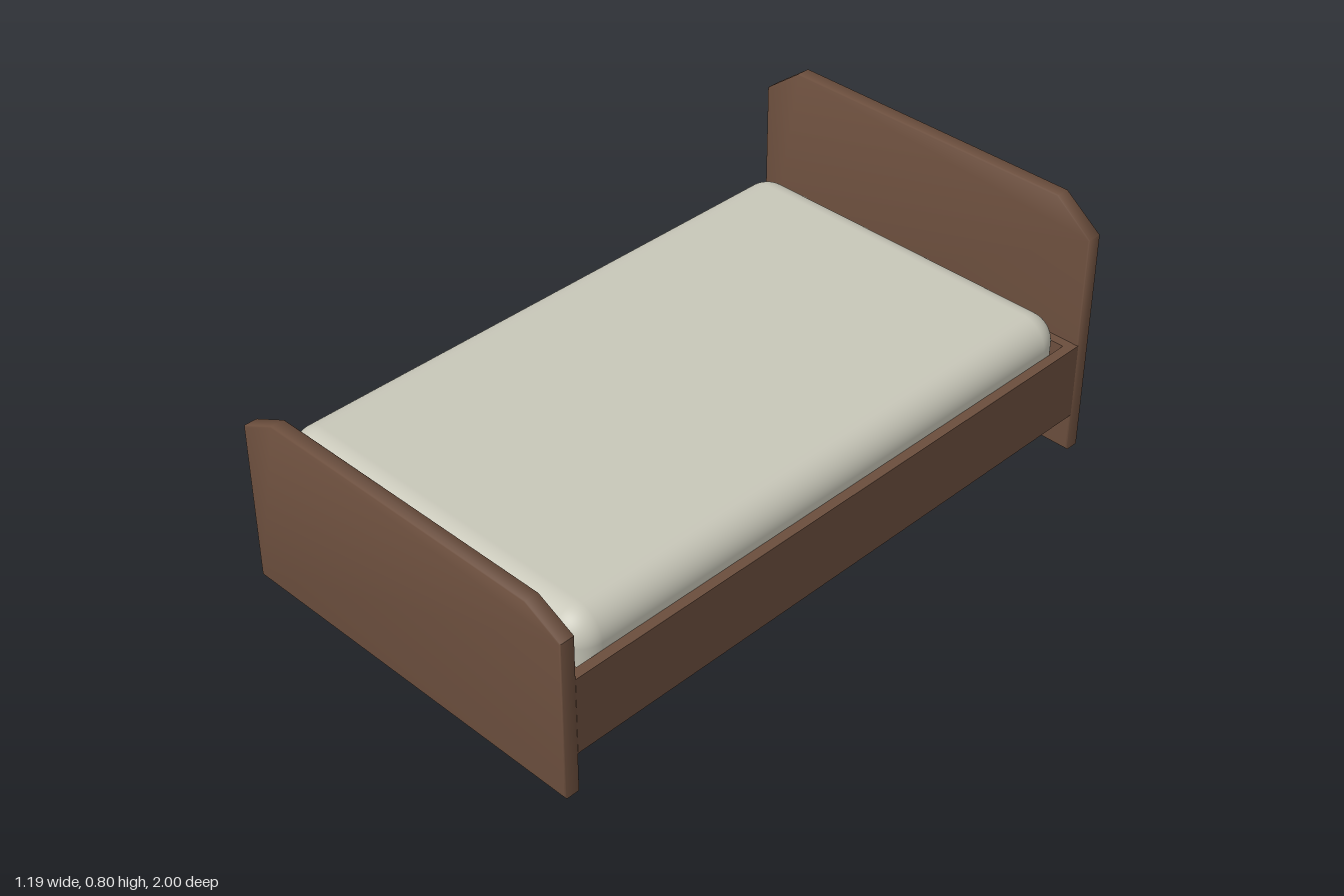
import * as THREE from 'three';
import { toCreasedNormals } from 'three/addons/utils/BufferGeometryUtils.js';
import { RoundedBoxGeometry } from 'three/addons/geometries/RoundedBoxGeometry.js';

export function createModel() {
  const bed = new THREE.Group();
  bed.name = 'bed';
  const wood = new THREE.MeshStandardMaterial({ color: 0x6b4e3d });
  wood.name = 'brown wood';
  const fabric = new THREE.MeshStandardMaterial({ color: 0xc8c7b9 });
  fabric.name = 'mattress fabric';

  const add = (name, geometry, material, x, y, z) => {
    const mesh = new THREE.Mesh(geometry, material);
    mesh.name = name;
    mesh.position.set(x, y, z);
    bed.add(mesh);
  };
  const box = (name, w, h, d, x, y, z) => add(name, new THREE.BoxGeometry(w, h, d), wood, x, y, z);

  // End panels with clipped top corners and softly rounded edges
  const halfW = 0.595, thick = 0.047, bevel = 0.006;
  const panel = (name, top, shoulder, z) => {
    const shape = new THREE.Shape([
      [-halfW, 0], [halfW, 0], [halfW, shoulder], [0.475, top], [-0.475, top], [-halfW, shoulder],
    ].map(([x, y]) => new THREE.Vector2(x, y)));
    const geometry = new THREE.ExtrudeGeometry(shape, {
      depth: thick - 2 * bevel, bevelEnabled: true, bevelSegments: 3,
      bevelSize: bevel, bevelThickness: bevel, bevelOffset: -bevel,
    });
    add(name, toCreasedNormals(geometry, 0.95), wood, 0, 0, z + bevel);
  };
  panel('headboard', 0.797, 0.706, -1);
  panel('footboard', 0.556, 0.497, 1 - thick);

  // Side rails with inner ledges that carry the slats
  for (const [side, s] of [['left', 1], ['right', -1]]) {
    box(`${side}SideRail`, 0.03, 0.238, 1.91, s * 0.579, 0.241, 0);
    box(`${side}Ledge`, 0.03, 0.03, 1.85, s * 0.549, 0.165, 0);
  }

  // End rails and their ledges between the side rails
  for (const [end, s] of [['foot', 1], ['head', -1]]) {
    box(`${end}EndRail`, 1.128, 0.238, 0.03, 0, 0.241, s * 0.939);
    box(`${end}Ledge`, 1.068, 0.03, 0.03, 0, 0.165, s * 0.909);
  }

  // Evenly spaced thin slats
  const slats = 7;
  for (let i = 0; i < slats; i++) {
    const z = -0.855 + (1.71 * i) / (slats - 1);
    box(`slat${i + 1}`, 1.128, 0.018, 0.135, 0, 0.189, z);
  }

  // Soft-edged mattress resting on the slats
  add('mattress', new RoundedBoxGeometry(1.128, 0.269, 1.846, 8, 0.085), fabric, 0, 0.3325, 0);

  return bed;
}
